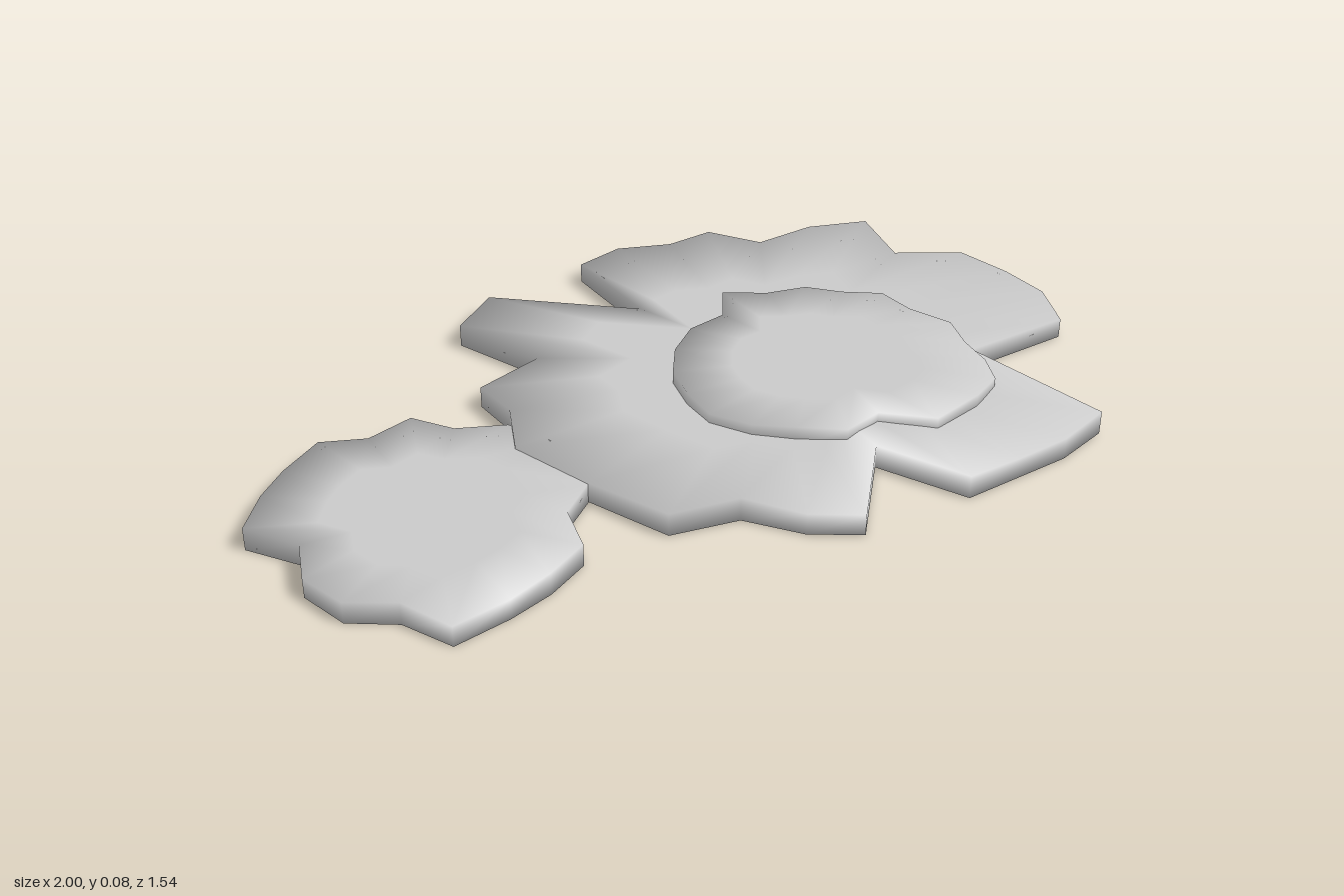
import * as THREE from 'three';

// Thin closed petal pad: flat underside, upright wavy rim and a top that dips
// slightly to the middle. Smooth normals round the rim over softly.
// Outline is a flat list of x, z pairs running from +x towards +z.
function makePad(name, outline, center, base, height) {
  const n = outline.length / 2;
  const [cx, cz] = center;
  const inner = 0.6;
  const pos = [cx, base, cz, cx, base + height * 0.85, cz];
  const normal = [0, -1, 0, 0, 1, 0];
  const index = [];
  for (let i = 0; i < n; i++) {
    const dx = outline[i * 2] - cx, dz = outline[i * 2 + 1] - cz;
    const rim = base + height - 0.004 * Math.sin(i * 1.7);
    // four points per spoke: bottom inner, bottom rim, top rim, top inner
    pos.push(
      cx + dx * inner, base, cz + dz * inner,
      cx + dx, base, cz + dz,
      cx + dx, rim, cz + dz,
      cx + dx * inner, base + height * 0.9, cz + dz * inner,
    );
    const out = new THREE.Vector3(dx, 0, dz).normalize().setY(0.85).normalize();
    normal.push(0, -1, 0, out.x, -out.y, out.z, out.x, out.y, out.z, 0, 1, 0);
    const a = 2 + i * 4, b = 2 + ((i + 1) % n) * 4;
    index.push(0, a, b, 1, b + 3, a + 3);       // middle of underside and top
    for (let k = 0; k < 3; k++) {               // outer underside, wall, outer top
      index.push(a + k, a + k + 1, b + k, b + k, a + k + 1, b + k + 1);
    }
  }
  const geometry = new THREE.BufferGeometry();
  geometry.setAttribute('position', new THREE.Float32BufferAttribute(pos, 3));
  geometry.setAttribute('normal', new THREE.Float32BufferAttribute(normal, 3));
  geometry.setIndex(index);
  const mesh = new THREE.Mesh(geometry, new THREE.MeshStandardMaterial({ color: 0xcccccc }));
  mesh.name = name;
  return mesh;
}

export function createModel() {
  const group = new THREE.Group();
  group.name = 'flowerPads';

  // Large pad with deep notches between its petals
  group.add(makePad('largePad', [
    -0.01, -0.38, -0.11, -0.66, 0, -0.72, 0.14, -0.71, 0.26, -0.77, 0.38, -0.68,
    0.53, -0.73, 0.69, -0.73, 0.71, -0.54, 0.88, -0.5, 0.95, -0.36, 1, -0.24,
    0.99, -0.1, 0.72, 0, 0.9, 0.34, 0.78, 0.42, 0.65, 0.47, 0.52, 0.52,
    0.36, 0.36, 0.26, 0.6, 0.14, 0.57, 0.02, 0.49, -0.14, 0.51, -0.28, 0.35,
    -0.41, 0.18, -0.4, 0.03, -0.45, -0.09, -0.3, -0.2, -0.46, -0.39, -0.37, -0.52,
  ], [0.25, -0.08], 0.002, 0.053));

  // Round pad resting on the large one
  group.add(makePad('upperPad', [
    0.2, -0.38, 0.31, -0.36, 0.41, -0.36, 0.49, -0.31, 0.59, -0.29, 0.63, -0.2,
    0.7, -0.1, 0.7, 0, 0.72, 0.08, 0.71, 0.17, 0.64, 0.24, 0.52, 0.31,
    0.4, 0.25, 0.31, 0.31, 0.2, 0.28, 0.11, 0.24, 0.03, 0.17, 0, 0.08,
    -0.01, -0.02, 0.02, -0.13, 0.08, -0.22, 0.17, -0.26,
  ], [0.35, -0.04], 0.028, 0.048));

  // Small pad beside the large one
  group.add(makePad('smallPad', [
    -0.62, 0, -0.53, 0.06, -0.41, 0.08, -0.33, 0.17, -0.28, 0.35, -0.34, 0.44,
    -0.33, 0.57, -0.41, 0.65, -0.5, 0.71, -0.62, 0.77, -0.71, 0.68, -0.82, 0.65,
    -0.89, 0.55, -0.89, 0.44, -1, 0.36, -0.96, 0.24, -0.91, 0.15, -0.83, 0.06,
    -0.72, 0.07,
  ], [-0.62, 0.36], 0, 0.05));

  return group;
}
